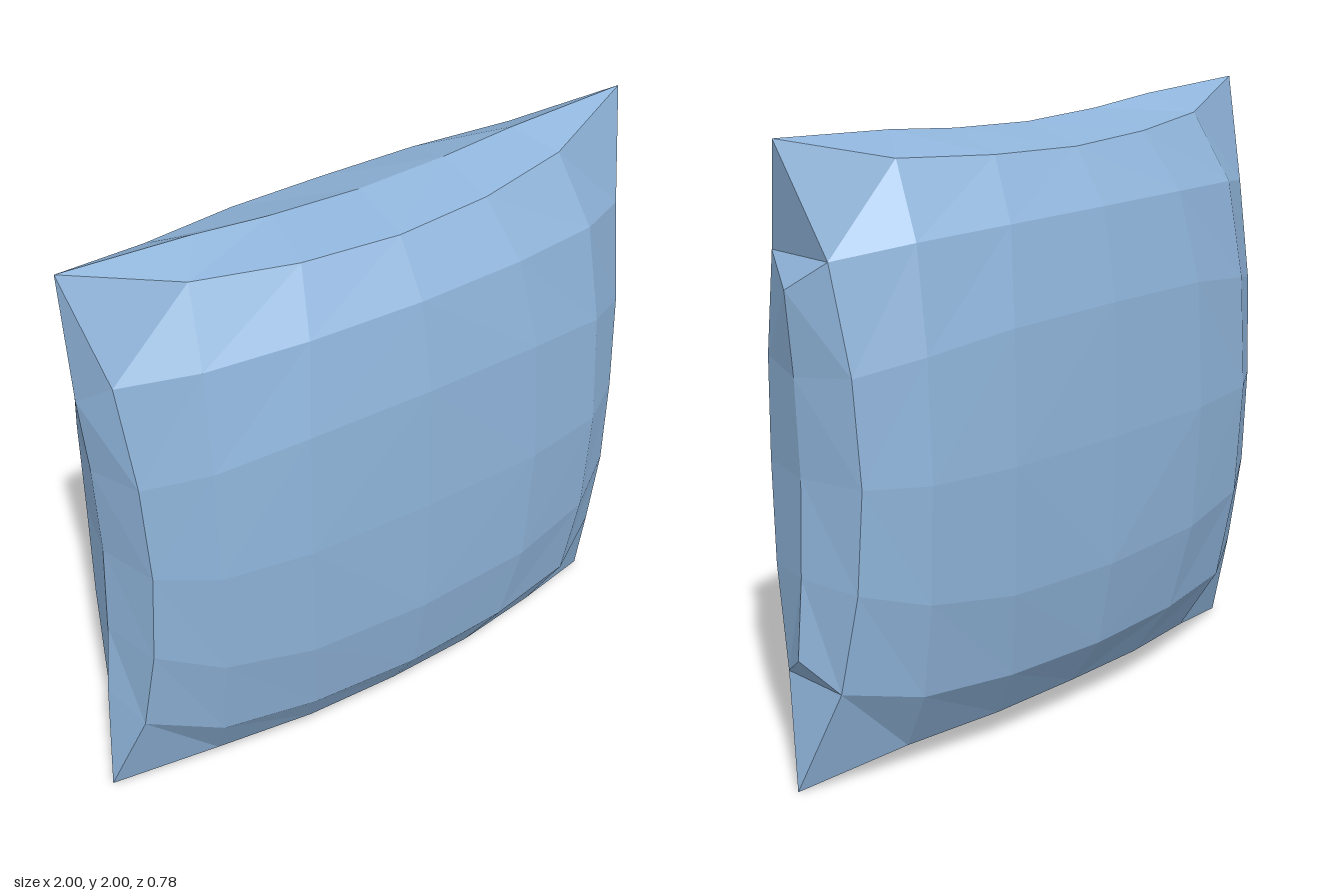
import * as THREE from 'three';

// Quarter grid of the padded panel, index 0 = centre line, 3 = border.
// SPREAD[a][b]: offset along an axis for own index a and cross index b.
const SPREAD = [
  [0, 0, 0, 0],
  [0.43, 0.42, 0.38, 0.33],
  [0.72, 0.715, 0.70, 0.66],
  [0.89, 0.90, 0.92, 1],
];
const DEPTH = [
  [0.39, 0.378, 0.325, 0.21],
  [0.378, 0.36, 0.305, 0.19],
  [0.325, 0.305, 0.25, 0.125],
  [0.21, 0.19, 0.125, 0],
];
// Seam between the panels: [position along the side, distance outwards]
const SEAM = [[-1, 1], [-0.57, 0.98], [-0.31, 0.957], [0, 0.945], [0.31, 0.957], [0.57, 0.98], [1, 1]];

// Collects triangles and turns each one to face the given direction
class Faces {
  constructor() { this.points = []; }
  tri(a, b, c, facing) {
    const n = b.clone().sub(a).cross(c.clone().sub(a));
    if (n.lengthSq() < 1e-12) return;
    const order = n.dot(facing) < 0 ? [a, c, b] : [a, b, c];
    this.points.push(...order);
  }
  mesh(name, material) {
    const g = new THREE.BufferGeometry().setFromPoints(this.points);
    g.computeVertexNormals();
    const m = new THREE.Mesh(g, material);
    m.name = name;
    return m;
  }
}

// Domed panel, made of four mirrored quarters
function panel(name, sz, material) {
  const faces = new Faces();
  const facing = new THREE.Vector3(0, 0, sz);
  for (const sx of [-1, 1]) for (const sy of [-1, 1]) {
    const p = (i, j) => new THREE.Vector3(sx * SPREAD[i][j], 1 + sy * SPREAD[j][i], sz * DEPTH[i][j]);
    for (let i = 0; i < 3; i++) for (let j = 0; j < 3; j++) {
      faces.tri(p(i, j), p(i + 1, j), p(i, j + 1), facing);
      faces.tri(p(i + 1, j), p(i + 1, j + 1), p(i, j + 1), facing);
    }
  }
  return faces.mesh(name, material);
}

// Edge strip joining both panels to the seam; tucked strips fold in at the corners
function edge(name, place, tucked, material) {
  const faces = new Faces();
  const facing = place(0, 1, 0).sub(place(0, 0, 0));
  const border = (k, sz) => {
    const i = Math.abs(k - 3);
    return place(Math.sign(k - 3) * SPREAD[i][3], SPREAD[3][i], sz * DEPTH[3][i]);
  };
  const seam = (k) => place(SEAM[k][0], SEAM[k][1], 0);
  for (let k = 0; k < 6; k++) {
    if (tucked && (k === 0 || k === 5)) {
      const inner = k === 0 ? 1 : 5;
      const corner = k === 0 ? 0 : 6;
      faces.tri(seam(corner), border(inner, 1), border(inner, -1), facing);
      faces.tri(seam(inner), border(inner, 1), border(inner, -1), facing);
      continue;
    }
    for (const sz of [-1, 1]) {
      faces.tri(border(k, sz), border(k + 1, sz), seam(k + 1), facing);
      faces.tri(border(k, sz), seam(k + 1), seam(k), facing);
    }
  }
  return faces.mesh(name, material);
}

export function createModel() {
  const fabric = new THREE.MeshStandardMaterial({ color: 0x8fb4da, flatShading: true, side: THREE.DoubleSide });
  fabric.name = 'blueFabric';
  const v = (x, y, z) => new THREE.Vector3(x, y, z);

  const cushion = new THREE.Group();
  cushion.name = 'cushion';
  cushion.add(
    panel('frontPanel', 1, fabric),
    panel('backPanel', -1, fabric),
    edge('topEdge', (t, o, z) => v(t, 1 + o, z), false, fabric),
    edge('rightEdge', (t, o, z) => v(-o, 1 + t, z), false, fabric),
    edge('bottomEdge', (t, o, z) => v(t, 1 - o, z), true, fabric),
    edge('leftEdge', (t, o, z) => v(o, 1 + t, z), true, fabric),
  );
  return cushion;
}
